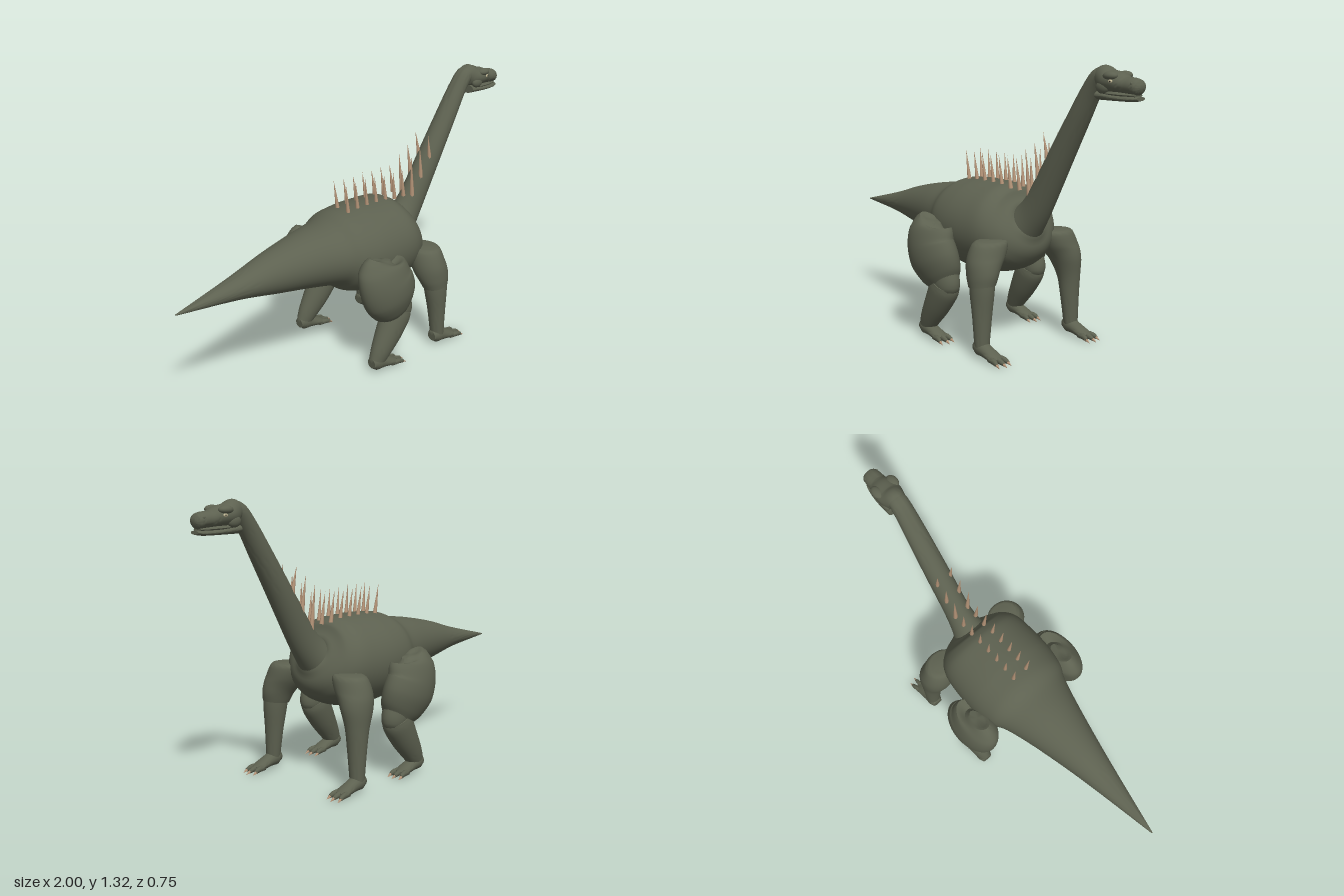
import * as THREE from 'three';
import { toCreasedNormals } from 'three/addons/utils/BufferGeometryUtils.js';

const material = (name, color) => {
  const m = new THREE.MeshStandardMaterial({ color });
  m.name = name;
  return m;
};

// Skin through elliptical sections [x, y, z, radius in the xy plane, radius along z]
function loft(sections, steps = 5, sides = 28) {
  const centres = new THREE.CatmullRomCurve3(sections.map(s => new THREE.Vector3(s[0], s[1], s[2])), false, 'catmullrom');
  const radii = new THREE.CatmullRomCurve3(sections.map(s => new THREE.Vector3(s[3], s[4], 0)), false, 'catmullrom');
  const rings = (sections.length - 1) * steps;
  const pos = [], index = [];
  for (let i = 0; i <= rings; i++) {
    const t = i / rings, c = centres.getPoint(t), r = radii.getPoint(t);
    const d = centres.getPoint(Math.min(1, t + 0.01)).sub(centres.getPoint(Math.max(0, t - 0.01)));
    const len = Math.hypot(d.x, d.y), nx = -d.y / len, ny = d.x / len;
    for (let j = 0; j < sides; j++) {
      const a = j / sides * Math.PI * 2, u = Math.cos(a) * r.x;
      pos.push(c.x + nx * u, c.y + ny * u, c.z + Math.sin(a) * r.y);
    }
  }
  for (let i = 0; i < rings; i++) {
    for (let j = 0; j < sides; j++) {
      const k = (j + 1) % sides, a = i * sides + j, b = i * sides + k;
      index.push(a, b, a + sides, b, b + sides, a + sides);
    }
  }
  // End caps
  const first = sections[0], last = sections[sections.length - 1], n = pos.length / 3;
  pos.push(...first.slice(0, 3), ...last.slice(0, 3));
  for (let j = 0; j < sides; j++) {
    const k = (j + 1) % sides, e = rings * sides;
    index.push(n, k, j, n + 1, e + j, e + k);
  }
  const g = new THREE.BufferGeometry();
  g.setAttribute('position', new THREE.Float32BufferAttribute(pos, 3));
  g.setIndex(index);
  return toCreasedNormals(g, 0.8);
}

export function createModel() {
  const model = new THREE.Group();
  model.name = 'longNeckedDinosaur';
  const skin = material('olive skin', 0x5d6150);
  const horn = material('tan horn', 0xb8977a);
  const eyeMat = material('pale eye', 0xc4bb98);
  const dark = material('dark pupil', 0x2b2a24);

  const add = (name, geometry, mat = skin, parent = model) => {
    const m = new THREE.Mesh(geometry, mat);
    m.name = name;
    parent.add(m);
    return m;
  };
  const ball = (name, mat, x, y, z, sx, sy, sz, parent) => {
    const m = add(name, new THREE.SphereGeometry(1, 18, 12), mat, parent);
    m.position.set(x, y, z);
    m.scale.set(sx, sy, sz);
  };
  // Cone standing from a base point to a tip
  const spike = (name, base, tip, radius, parent) => {
    const a = new THREE.Vector3(...base), d = new THREE.Vector3(...tip).sub(a);
    const m = add(name, new THREE.ConeGeometry(radius, d.length(), 8), horn, parent);
    m.position.copy(a).addScaledVector(d, 0.5);
    m.quaternion.setFromUnitVectors(new THREE.Vector3(0, 1, 0), d.normalize());
  };

  // Body with tail, and neck
  add('bodyAndTail', loft([
    [-1, 0.522, 0, 0.003, 0.003], [-0.7, 0.547, 0, 0.052, 0.062], [-0.5, 0.56, 0, 0.098, 0.104],
    [-0.3, 0.567, 0, 0.134, 0.153], [-0.17, 0.565, 0, 0.156, 0.192], [-0.1, 0.562, 0, 0.193, 0.226],
    [0, 0.55, 0, 0.214, 0.245], [0.13, 0.548, 0, 0.217, 0.246], [0.24, 0.562, 0, 0.203, 0.23],
    [0.305, 0.578, 0, 0.168, 0.183], [0.338, 0.592, 0, 0.1, 0.105], [0.348, 0.6, 0, 0.03, 0.03],
  ], 6, 48));
  add('neck', loft([
    [0.24, 0.5, 0, 0.1, 0.13], [0.33, 0.595, 0, 0.085, 0.083], [0.41, 0.695, 0, 0.071, 0.063], [0.545, 0.92, 0, 0.058, 0.058],
    [0.65, 1.095, 0, 0.049, 0.053], [0.72, 1.21, 0, 0.042, 0.048], [0.77, 1.272, 0, 0.04, 0.045], [0.82, 1.285, 0, 0.035, 0.04],
  ], 6, 32));

  // Head
  const head = new THREE.Group();
  head.name = 'head';
  model.add(head);
  add('skull', loft([
    [0.758, 1.272, 0, 0.025, 0.035], [0.79, 1.273, 0, 0.052, 0.048], [0.83, 1.26, 0, 0.048, 0.06],
    [0.88, 1.255, 0, 0.044, 0.06], [0.92, 1.246, 0, 0.036, 0.046], [0.96, 1.243, 0, 0.035, 0.042],
    [0.985, 1.238, 0, 0.031, 0.037], [0.998, 1.236, 0, 0.015, 0.02],
  ]), skin, head);
  add('lowerJaw', loft([
    [0.787, 1.202, 0, 0.022, 0.052], [0.88, 1.195, 0, 0.015, 0.052], [0.96, 1.193, 0, 0.012, 0.04], [0.995, 1.195, 0, 0.008, 0.024],
  ]), skin, head);
  add('mouthInside', loft([[0.81, 1.214, 0, 0.014, 0.046], [0.9, 1.209, 0, 0.011, 0.044], [0.98, 1.207, 0, 0.008, 0.024]], 3), skin, head);
  for (const s of [1, -1]) {
    ball('brow', skin, 0.868, 1.283, s * 0.044, 0.036, 0.018, 0.025, head);
    ball('cheek', skin, 0.825, 1.235, s * 0.043, 0.035, 0.026, 0.018, head);
    ball('eye', eyeMat, 0.88, 1.262, s * 0.056, 0.011, 0.008, 0.008, head);
    ball('pupil', dark, 0.883, 1.262, s * 0.062, 0.003, 0.004, 0.003, head);
    ball('nostril', skin, 0.972, 1.256, s * 0.034, 0.007, 0.006, 0.005, head);
  }

  // Two rows of spines, along the back and up the neck
  const spines = new THREE.Group();
  spines.name = 'spines';
  model.add(spines);
  for (const s of [1, -1]) {
    for (let i = 0; i < 7; i++) {
      const x = -0.05 + i * 0.061;
      spike('backSpine', [x, 0.745, s * 0.038], [x - 0.02, 0.895, s * 0.044], 0.0105, spines);
    }
    for (const [x, y, tx, ty] of [[0.38, 0.72, 0.36, 0.945], [0.44, 0.8, 0.418, 0.98], [0.5, 0.88, 0.475, 1.025]])
      spike('neckSpine', [x, y, s * 0.036], [tx, ty, s * 0.044], 0.0125, spines);
  }

  // Foot with three clawed toes
  const foot = (name, x, z) => {
    const g = new THREE.Group();
    g.name = name;
    g.position.set(x, 0, z);
    model.add(g);
    add('sole', loft([
      [-0.035, 0.055, 0, 0.025, 0.026], [-0.008, 0.056, 0, 0.04, 0.036], [0.035, 0.045, 0, 0.03, 0.034],
      [0.09, 0.03, 0, 0.02, 0.037], [0.12, 0.022, 0, 0.012, 0.03],
    ], 4, 18), skin, g);
    for (const s of [-1, 0, 1]) {
      const reach = s ? 0.145 : 0.155;
      add('toe', loft([
        [0.08, 0.026, s * 0.022, 0.015, 0.013], [0.12, 0.025, s * 0.028, 0.014, 0.012], [reach, 0.017, s * 0.032, 0.009, 0.008],
      ], 3, 10), skin, g);
      spike('claw', [reach - 0.005, 0.018, s * 0.032], [reach + 0.022, 0.006, s * 0.034], 0.0085, g);
    }
  };

  // Legs: cuffed foreleg on one side, smooth one on the other
  const side = (list, s) => list.map(([x, y, z, a, b]) => [x, y, s * z, a, b]);
  const upperFore = [[0.306, 0.535, 0.2, 0.035, 0.045], [0.306, 0.522, 0.203, 0.07, 0.085], [0.306, 0.45, 0.23, 0.084, 0.09],
    [0.318, 0.385, 0.255, 0.08, 0.072], [0.325, 0.335, 0.265, 0.066, 0.06]];
  const lowerFore = [[0.325, 0.36, 0.265, 0.062, 0.056], [0.328, 0.3, 0.268, 0.058, 0.054],
    [0.333, 0.2, 0.272, 0.044, 0.046], [0.338, 0.06, 0.277, 0.033, 0.035]];
  const thigh = [[-0.042, 0.578, 0.265, 0.05, 0.025], [-0.046, 0.555, 0.27, 0.13, 0.072], [-0.036, 0.47, 0.285, 0.148, 0.086],
    [-0.002, 0.395, 0.284, 0.148, 0.09], [0.026, 0.33, 0.272, 0.122, 0.08], [0.045, 0.29, 0.265, 0.085, 0.062]];
  const shin = [[0.062, 0.295, 0.27, 0.07, 0.064], [0.045, 0.26, 0.27, 0.077, 0.067],
    [0, 0.185, 0.272, 0.069, 0.06], [-0.05, 0.11, 0.275, 0.055, 0.046], [-0.08, 0.06, 0.276, 0.043, 0.034]];
  const knee = [[0.05, 0.33, 0.27, 0.08, 0.06], [0.066, 0.29, 0.27, 0.076, 0.058], [0.065, 0.265, 0.27, 0.06, 0.05]];

  for (const s of [1, -1]) {
    if (s > 0) {
      add('upperForeleg', loft(side(upperFore, s)));
      add('lowerForeleg', loft(side(lowerFore, s)));
    } else {
      add('foreleg', loft(side([...upperFore.slice(0, 4), ...lowerFore.slice(1)], s)));
    }
    add('thigh', loft(side(thigh, s), 5, 36));
    add('kneeCuff', loft(side(knee, s), 4));
    add('shin', loft(side(shin, s)));
    foot('forefoot', 0.336, s * 0.277);
    foot('hindFoot', -0.078, s * 0.276);
  }
  return model;
}
